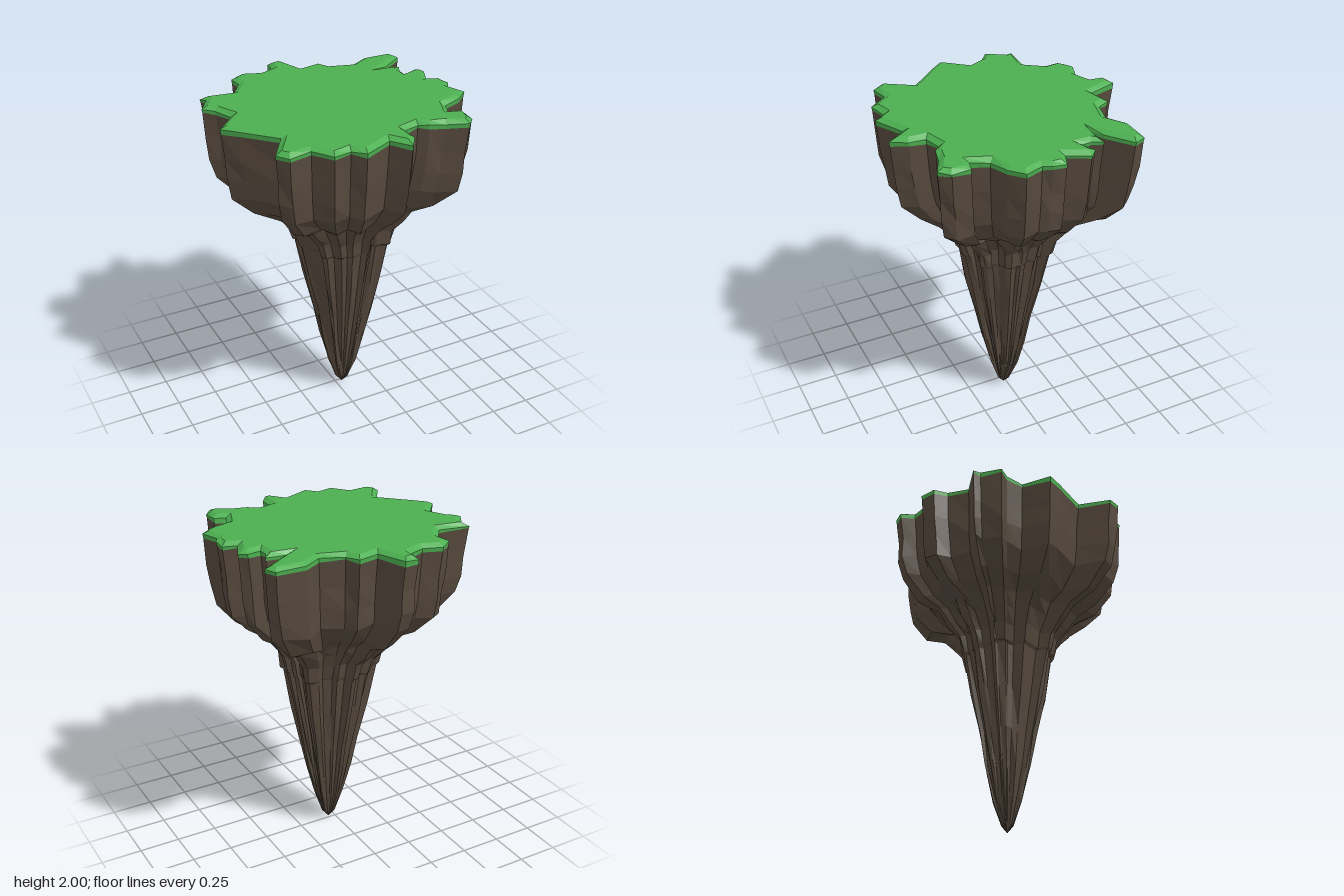
import * as THREE from 'three';

// Jagged rim of the island as x, z pairs
const RIM = [
  -0.10, -0.72, -0.01, -0.73, 0.05, -0.55, 0.18, -0.58, 0.22, -0.50, 0.36, -0.46, 0.47, -0.53,
  0.65, -0.53, 0.68, -0.46, 0.53, -0.35, 0.45, -0.31, 0.60, -0.31, 0.57, -0.25, 0.57, -0.19,
  0.66, -0.22, 0.70, -0.18, 0.64, -0.05, 0.72, -0.02, 0.72, 0.06, 0.69, 0.11, 0.73, 0.22,
  0.65, 0.29, 0.53, 0.33, 0.49, 0.43, 0.56, 0.45, 0.56, 0.56, 0.51, 0.62, 0.39, 0.56,
  0.30, 0.54, 0.25, 0.50, 0.15, 0.53, 0.15, 0.63, 0.09, 0.72, 0.01, 0.61, -0.17, 0.70,
  -0.23, 0.63, -0.34, 0.66, -0.42, 0.55, -0.55, 0.57, -0.60, 0.50, -0.49, 0.33, -0.66, 0.15,
  -0.73, 0.07, -0.61, -0.07, -0.66, -0.18, -0.72, -0.23, -0.65, -0.34, -0.67, -0.39, -0.47, -0.37,
  -0.39, -0.48, -0.40, -0.57, -0.32, -0.63, -0.21, -0.59, -0.11, -0.63,
];

// Rock cross-sections from top to tip: height, scale, sharpness of ridges, wobble
const ROCK = [
  [1.80, 0.975, 1, 0.012], [1.68, 0.96, 1, 0.012], [1.56, 0.93, 1, 0.015],
  [1.43, 0.77, 0.95, 0.015], [1.36, 0.60, 0.9, 0.02], [1.29, 0.52, 0.85, 0.015],
  [1.21, 0.435, 0.8, 0.012], [1.115, 0.405, 0.8, 0.006], [1.10, 0.385, 0.75, 0.006],
  [0.85, 0.32, 0.75, 0.014], [0.60, 0.245, 0.75, 0.014], [0.40, 0.19, 0.75, 0.012],
  [0.20, 0.125, 0.75, 0.008], [0.05, 0.055, 0.75, 0.003], [0, 0.001, 0.75, 0],
];

const rim = [];
for (let i = 0; i < RIM.length; i += 2) rim.push(new THREE.Vector2(RIM[i], RIM[i + 1]));
const N = rim.length;

// Repeatable noise from -1 to 1
function noise(a, b) {
  const s = Math.sin(a * 12.9898 + b * 78.233) * 43758.5453;
  return (s - Math.floor(s)) * 2 - 1;
}

// Moves the rim inwards by a fixed distance
function insetRim(d) {
  return rim.map((p, i) => {
    const e1 = p.clone().sub(rim[(i + N - 1) % N]).normalize();
    const e2 = rim[(i + 1) % N].clone().sub(p).normalize();
    const n1 = new THREE.Vector2(-e1.y, e1.x);
    const n = n1.clone().add(new THREE.Vector2(-e2.y, e2.x)).normalize();
    return p.clone().addScaledVector(n, d / Math.max(0.6, n.dot(n1)));
  });
}

function flatGeometry(points) {
  const g = new THREE.BufferGeometry().setFromPoints(points);
  g.computeVertexNormals();
  return g;
}

// Faceted skin between rings listed from top to bottom
function skin(rings) {
  const out = [];
  for (let r = 0; r < rings.length - 1; r++) {
    const a = rings[r], b = rings[r + 1];
    for (let i = 0; i < N; i++) {
      const j = (i + 1) % N;
      out.push(a[i], a[j], b[i], a[j], b[j], b[i]);
    }
  }
  return out;
}

export function createModel() {
  const grassGreen = new THREE.MeshStandardMaterial({ color: 0x4caf50 });
  const rockBrown = new THREE.MeshStandardMaterial({ color: 0x574a3e });
  const group = new THREE.Group();
  group.name = 'floatingIsland';

  // Grass: flat top, bevel and a thin uneven lip
  const inner = insetRim(0.032);
  const topRing = inner.map(p => new THREE.Vector3(p.x, 2, p.y));
  const bevelRing = rim.map((p, i) => new THREE.Vector3(p.x, 1.98 + 0.006 * noise(i, 1), p.y));
  const lipRing = rim.map((p, i) => new THREE.Vector3(p.x * 0.995, 1.957 + 0.009 * noise(i, 2), p.y * 0.995));
  const grass = skin([topRing, bevelRing, lipRing]);
  for (const [a, b, c] of THREE.ShapeUtils.triangulateShape(inner, [])) {
    const cross = inner[b].clone().sub(inner[a]).cross(inner[c].clone().sub(inner[a]));
    const order = cross > 0 ? [a, c, b] : [a, b, c];
    grass.push(...order.map(k => topRing[k]));
  }
  const grassMesh = new THREE.Mesh(flatGeometry(grass), grassGreen);
  grassMesh.name = 'grassTop';

  // Rock: ridged bowl narrowing through a ledge into a long spike
  const rockRings = ROCK.map(([y, scale, sharp, wobble], r) => rim.map((p, i) => {
    const len = p.length();
    const radius = scale * THREE.MathUtils.lerp(0.68, len, sharp) + wobble * 0.7 * noise(i, r + 5);
    const shift = 0.04 * THREE.MathUtils.smoothstep(2 - y, 0.4, 1);
    return new THREE.Vector3(
      p.x / len * radius + shift,
      y + wobble * noise(i, r + 40),
      p.y / len * radius + shift * 0.4);
  }));
  const rockMesh = new THREE.Mesh(flatGeometry(skin([lipRing, ...rockRings])), rockBrown);
  rockMesh.name = 'rockSpike';

  group.add(grassMesh, rockMesh);
  return group;
}
